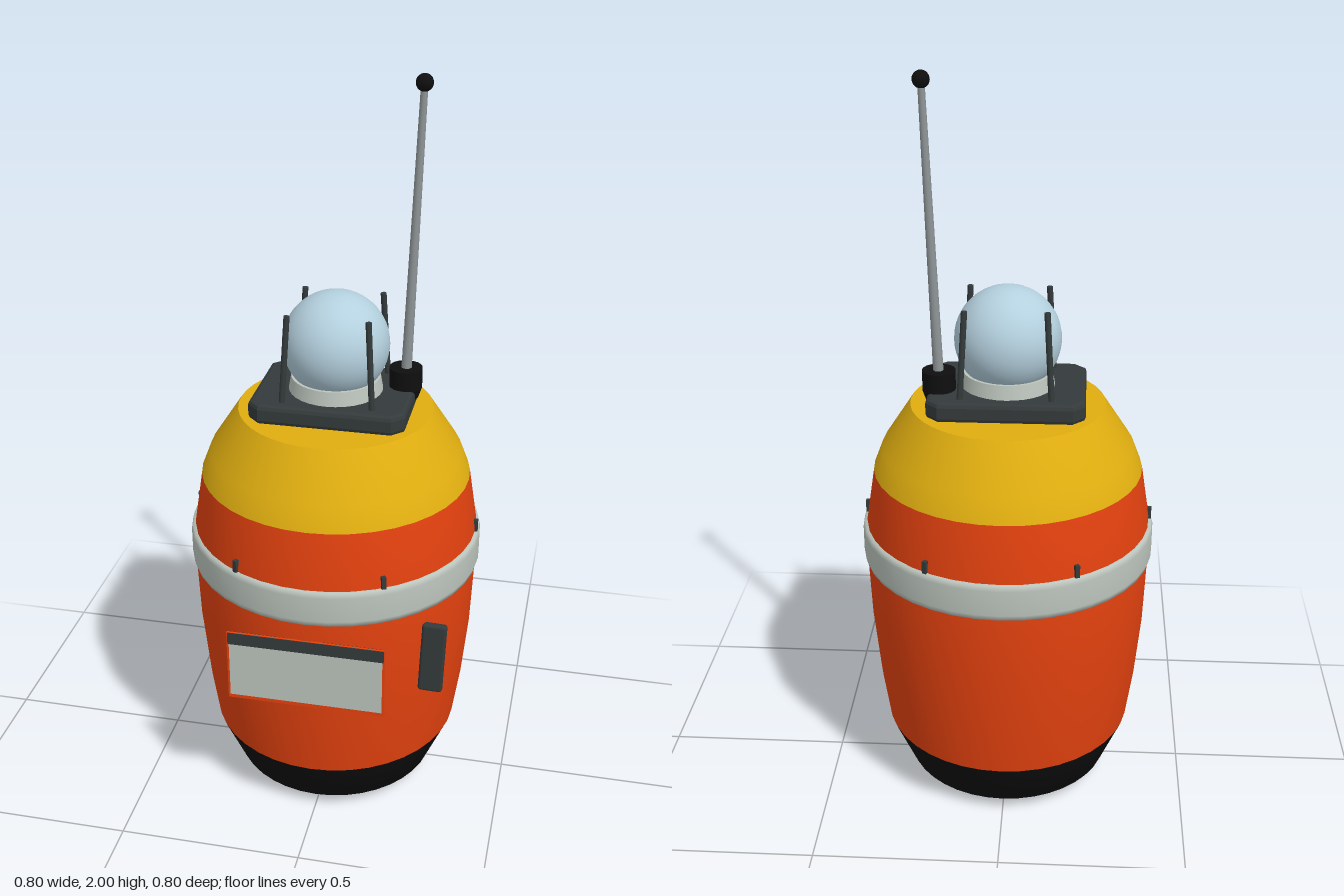
import * as THREE from 'three';
import { RoundedBoxGeometry } from 'three/addons/geometries/RoundedBoxGeometry.js';

const mat = (name, color, side = THREE.FrontSide) => {
  const m = new THREE.MeshStandardMaterial({ color, side });
  m.name = name;
  return m;
};

export function createModel() {
  const group = new THREE.Group();
  const orange = mat('orange', 0xe5420f);
  const yellow = mat('yellow', 0xe0ae10);
  const black = mat('black', 0x0f0f0f);
  const darkGrey = mat('dark grey', 0x343a3b);
  const lightGrey = mat('light grey', 0xbcc5bd, THREE.DoubleSide);
  const paleBlue = mat('pale blue', 0xb4d0de);
  const steel = mat('steel', 0x8f9597);

  const add = (name, geometry, material, x = 0, y = 0, z = 0) => {
    const mesh = new THREE.Mesh(geometry, material);
    mesh.name = name;
    mesh.position.set(x, y, z);
    group.add(mesh);
    return mesh;
  };
  const lathe = (name, profile, material) =>
    add(name, new THREE.LatheGeometry(profile.map(p => new THREE.Vector2(...p)), 40), material);
  // Round bar between two points
  const bar = (name, a, b, r0, r1, material) => {
    const from = new THREE.Vector3(...a), to = new THREE.Vector3(...b);
    const dir = to.clone().sub(from);
    const mesh = add(name, new THREE.CylinderGeometry(r1, r0, dir.length(), 12), material);
    mesh.position.copy(from).add(to).multiplyScalar(0.5);
    mesh.quaternion.setFromUnitVectors(new THREE.Vector3(0, 1, 0), dir.normalize());
    return mesh;
  };

  // Barrel hull in three colours
  lathe('hullBase', [[0, 0], [0.2, 0], [0.285, 0.04], [0.345, 0.18]], black);
  lathe('hullBody', [[0.345, 0.18], [0.365, 0.32], [0.382, 0.5], [0.388, 0.65], [0.386, 0.8], [0.363, 0.945]], orange);
  lathe('hullShoulder', [[0.363, 0.945], [0.338, 1.01], [0.26, 1.13]], yellow);
  const cap = add('hullTop', new THREE.CircleGeometry(0.26, 40), yellow, 0, 1.13, 0);
  cap.rotation.x = -Math.PI / 2;

  // Reflective band and its six clips
  lathe('band', [[0.38, 0.69], [0.394, 0.69], [0.398, 0.705], [0.398, 0.775], [0.394, 0.79], [0.38, 0.79]], lightGrey);
  for (let i = 0; i < 6; i++) {
    const a = i * Math.PI / 3;
    const clip = add('bandClip', new THREE.BoxGeometry(0.012, 0.035, 0.012), darkGrey,
      0.387 * Math.cos(a), 0.806, 0.387 * Math.sin(a));
    clip.rotation.y = -a;
  }

  // Front plate with border, pale field and dark header
  add('plateBorder', new THREE.BoxGeometry(0.42, 0.207, 0.006), orange, 0, 0.532, 0.388);
  add('plateField', new THREE.BoxGeometry(0.408, 0.16, 0.0095), lightGrey, 0, 0.52, 0.388);
  add('plateHeader', new THREE.BoxGeometry(0.415, 0.035, 0.0095), darkGrey, 0, 0.6175, 0.388);

  // Side fin
  const fin = add('sideFin', new RoundedBoxGeometry(0.066, 0.212, 0.022, 2, 0.008), darkGrey, 0.315, 0.538, 0.255);
  fin.rotation.z = -0.035;

  // Top platform with cut corners
  const w = 0.195, d = 0.145, c = 0.025;
  const outline = new THREE.Shape([[-w + c, -d], [w - c, -d], [w, -d + c], [w, d - c],
    [w - c, d], [-w + c, d], [-w, d - c], [-w, -d + c]].map(p => new THREE.Vector2(...p)));
  const platform = add('platform', new THREE.ExtrudeGeometry(outline,
    { depth: 0.03, bevelThickness: 0.012, bevelSize: 0.012, bevelSegments: 2 }), darkGrey, 0, 1.14, 0);
  platform.rotation.x = -Math.PI / 2;

  // Dome lamp, collar and guard rods
  add('lampCollar', new THREE.CylinderGeometry(0.118, 0.125, 0.04, 32), lightGrey, 0, 1.2, 0);
  add('lampDome', new THREE.SphereGeometry(0.141, 36, 24), paleBlue, 0, 1.308, 0);
  for (const sx of [-1, 1]) for (const sz of [-1, 1]) {
    bar('guardRod', [sx * 0.119, 1.17, sz * 0.119], [sx * 0.105, 1.415, sz * 0.105], 0.008, 0.008, darkGrey);
  }

  // Whip antenna
  add('antennaSocket', new THREE.CylinderGeometry(0.044, 0.044, 0.055, 20), black, 0.178, 1.207, -0.05);
  add('antennaSocketFoot', new THREE.CylinderGeometry(0.044, 0.034, 0.03, 20), black, 0.178, 1.165, -0.05);
  bar('antennaMast', [0.178, 1.2, -0.05], [0.206, 1.98, -0.05], 0.014, 0.009, steel);
  add('antennaTip', new THREE.SphereGeometry(0.022, 16, 12), black, 0.206, 1.978, -0.05);

  return group;
}
